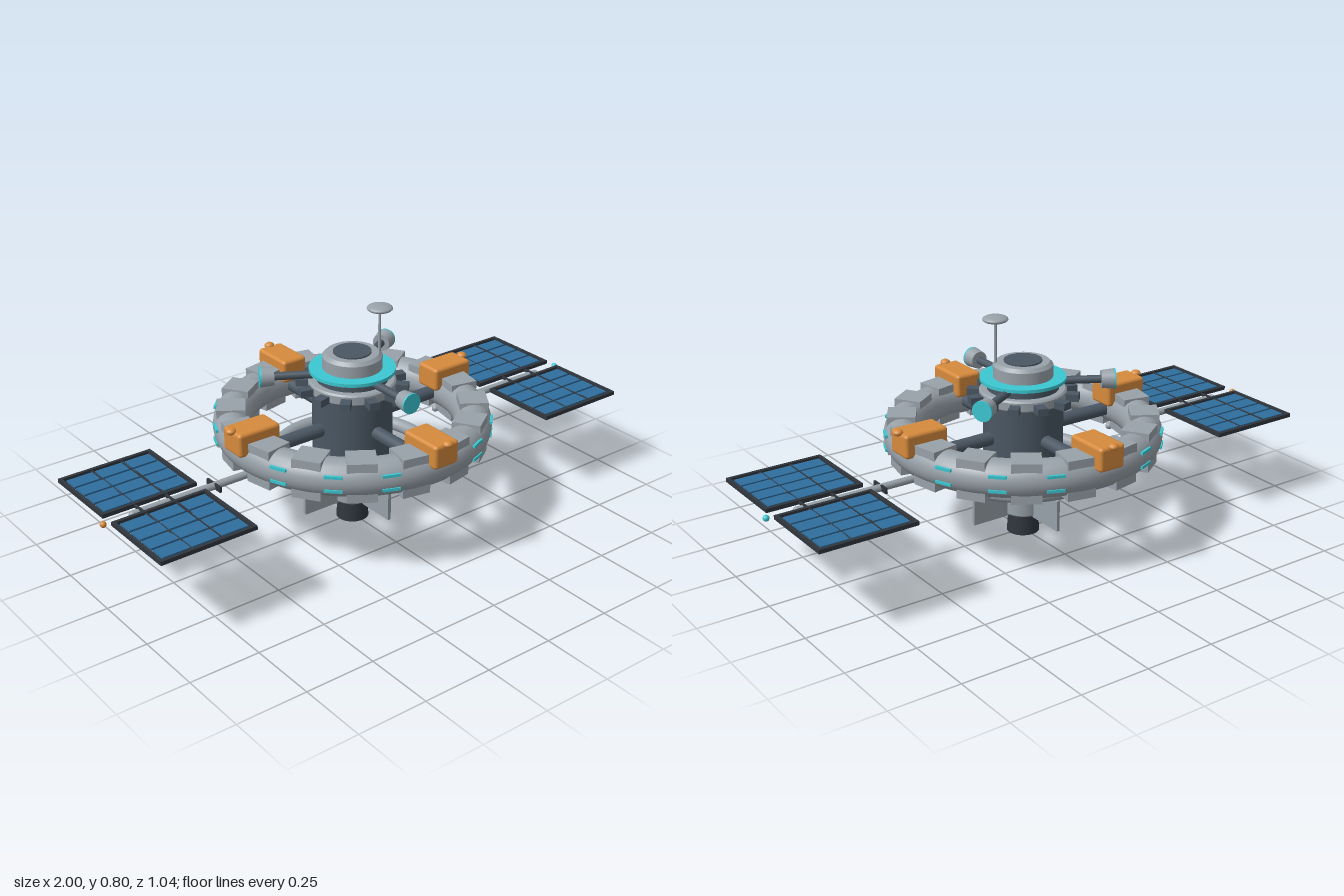
import * as THREE from 'three';
import { RoundedBoxGeometry } from 'three/addons/geometries/RoundedBoxGeometry.js';

const mat = (name, color) => {
  const m = new THREE.MeshStandardMaterial({ color });
  m.name = name;
  return m;
};

export function createModel() {
  const hull = mat('hull grey', 0x98a1a9);
  const dark = mat('core slate', 0x4a5763);
  const black = mat('frame charcoal', 0x30363d);
  const orange = mat('module orange', 0xd68a3c);
  const cyan = mat('light cyan', 0x3cc8d2);
  const blue = mat('cell blue', 0x2f6d9c);

  const root = new THREE.Group();
  root.name = 'spaceStation';

  const add = (parent, name, geo, material, x = 0, y = 0, z = 0) => {
    const m = new THREE.Mesh(geo, material);
    m.name = name;
    m.position.set(x, y, z);
    parent.add(m);
    return m;
  };
  const box = (w, h, d) => new THREE.BoxGeometry(w, h, d);
  const cyl = (r, h, n = 40, r2 = r) => new THREE.CylinderGeometry(r, r2, h, n);
  const ball = (r) => new THREE.SphereGeometry(r, 20, 12);
  // group turned about the axis, so that its +z points outwards at angle a
  const spin = (name, a) => {
    const g = new THREE.Group();
    g.name = name;
    g.rotation.y = a;
    root.add(g);
    return g;
  };
  // upright drum with small bevels
  const drum = (r, y0, y1, b) => new THREE.LatheGeometry(
    [[0, y0], [r - b, y0], [r - b, y0], [r, y0 + b], [r, y0 + b], [r, y1 - b], [r, y1 - b], [r - b, y1], [r - b, y1], [0, y1]]
      .map(([x, y]) => new THREE.Vector2(x, y)), 48);
  const ring = (name, R, r, y, material) => {
    const m = add(root, name, new THREE.TorusGeometry(R, r, 20, 96), material, 0, y, 0);
    m.rotation.x = Math.PI / 2;
  };

  // central column, bottom to top
  add(root, 'nozzle', cyl(0.052, 0.085, 32, 0.058), black, 0, 0.0425, 0);
  add(root, 'engineSection', drum(0.072, 0.075, 0.195, 0.006), hull);
  ring('engineBand', 0.07, 0.006, 0.17, orange);
  add(root, 'core', drum(0.14, 0.19, 0.52, 0.01), dark);
  add(root, 'collar', drum(0.152, 0.5, 0.54, 0.006), hull);
  add(root, 'neck', cyl(0.125, 0.05), dark, 0, 0.55, 0);
  add(root, 'lightDisc', cyl(0.15, 0.012, 48), cyan, 0, 0.576, 0);
  add(root, 'cap', drum(0.104, 0.57, 0.636, 0.012), hull);
  add(root, 'topHatch', cyl(0.066, 0.008), dark, 0, 0.637, 0);

  // antenna on the cap
  add(root, 'antennaMast', cyl(0.005, 0.16, 12), hull, 0.085, 0.71, 0.042);
  add(root, 'antennaDish', ball(0.045), hull, 0.085, 0.789, 0.042).scale.y = 0.3;

  // rings
  ring('habitatRing', 0.42, 0.065, 0.38, hull);
  ring('lowerRing', 0.271, 0.024, 0.25, hull);

  for (let i = 0; i < 16; i++) {
    // thick ring segments
    const seg = spin('ringSegment', (i + 0.5) * Math.PI / 8);
    add(seg, 'segmentBox', box(0.1, 0.14, 0.1), hull, 0, 0.38, 0.42);
    // window strips between segments
    if (i % 4 === 0) continue;
    const win = spin('ringWindows', i * Math.PI / 8);
    for (const y of [0.358, 0.408]) add(win, 'windowStrip', box(0.06, 0.01, 0.009), cyan, 0, y, 0.482);
  }

  for (let i = 0; i < 4; i++) {
    // spoke, docking module and fin on each axis
    const g = spin('quarter', i * Math.PI / 2);
    add(g, 'spoke', cyl(0.024, 0.26, 20), dark, 0, 0.38, 0.25).rotation.x = Math.PI / 2;
    add(g, 'dockingModule', new RoundedBoxGeometry(0.1, 0.085, 0.164, 3, 0.012), orange, 0, 0.445, 0.42);
    add(g, 'moduleKnob', ball(0.018), orange, 0, 0.487, 0.502).scale.y = 0.65;
    add(g, 'fin', box(0.012, 0.113, 0.145), hull, 0, 0.128, 0.138);
  }

  // lugs around the collar
  for (let i = 0; i < 12; i++) {
    const g = spin('collarLug', (i + 0.5) * Math.PI / 6);
    add(g, 'lug', box(0.036, 0.026, 0.055), dark, 0, 0.515, 0.168);
  }

  // three sensor arms
  for (let i = 0; i < 3; i++) {
    const g = spin('sensorArm', i * Math.PI * 2 / 3);
    const parts = [
      ['arm', cyl(0.014, 0.18, 16), dark, 0.19],
      ['sensorHousing', cyl(0.036, 0.045, 28, 0.031), hull, 0.293],
      ['sensorFace', cyl(0.036, 0.006, 28), cyan, 0.317],
    ];
    for (const [name, geo, material, z] of parts) add(g, name, geo, material, 0, 0.56, z).rotation.x = Math.PI / 2;
  }

  // solar wings
  for (const s of [1, -1]) {
    const wing = new THREE.Group();
    wing.name = s > 0 ? 'leftWing' : 'rightWing';
    root.add(wing);
    add(wing, 'boom', new THREE.CapsuleGeometry(0.013, 0.5, 6, 16), hull, s * 0.633, 0.308, 0).rotation.z = Math.PI / 2;
    add(wing, 'boomBracket', box(0.008, 0.02, 0.08), black, s * 0.575, 0.31, 0);
    add(wing, 'tipLight', ball(0.011), s > 0 ? cyan : orange, s * 0.989, 0.31, 0);
    for (const x of [0.743, 0.857]) add(wing, 'panelRib', box(0.008, 0.01, 0.65), black, s * x, 0.319, 0);
    for (const t of [1, -1]) {
      const panel = new THREE.Group();
      panel.name = 'solarPanel';
      panel.position.set(s * 0.8, 0.32, t * 0.177);
      wing.add(panel);
      // open frame
      for (const e of [1, -1]) {
        add(panel, 'frameSide', box(0.012, 0.014, 0.3), black, e * 0.169, 0, 0);
        add(panel, 'frameEnd', box(0.35, 0.014, 0.012), black, 0, 0, e * 0.144);
      }
      // cells
      for (let c = -1; c <= 1; c++) {
        for (let r = 0; r < 4; r++) {
          add(panel, 'solarCell', box(0.1, 0.008, 0.056), blue, c * 0.106, 0, (r - 1.5) * 0.066);
        }
      }
    }
  }
  return root;
}
